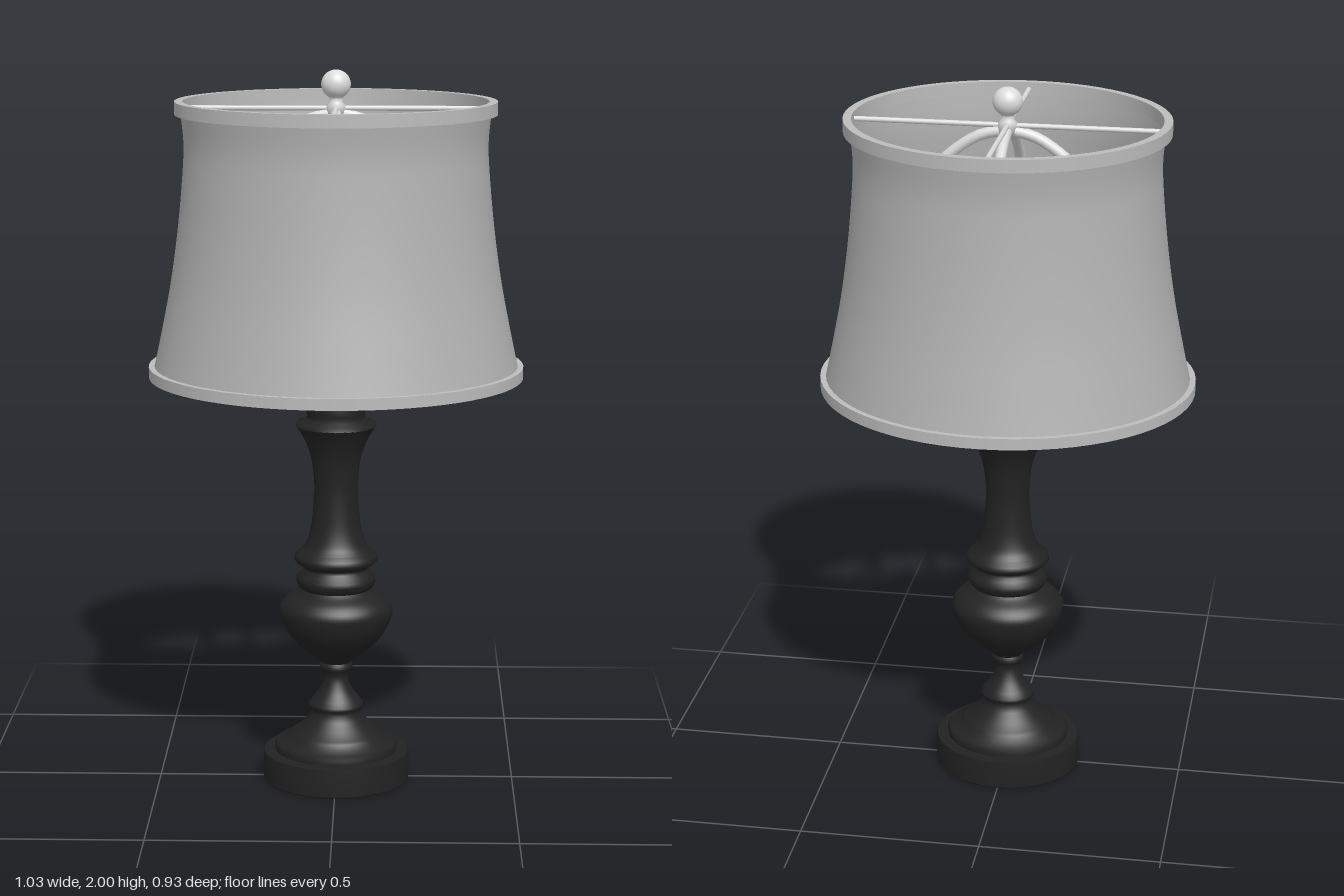
import * as THREE from 'three';

const DEPTH = 0.9; // the turned parts are slightly oval

export function createModel() {
  const lamp = new THREE.Group();
  lamp.name = 'tableLamp';

  const material = (name, color, side = THREE.FrontSide) => {
    const m = new THREE.MeshStandardMaterial({ color, side });
    m.name = name;
    return m;
  };
  const black = material('black wood', 0x222222);
  const fabric = material('grey fabric', 0xb2b2b2, THREE.DoubleSide);
  const trim = material('light grey trim', 0xbcbcbc);
  const metal = material('pale metal', 0xdcdcdc);

  const add = (name, geometry, mat) => {
    const mesh = new THREE.Mesh(geometry, mat);
    mesh.name = name;
    lamp.add(mesh);
    return mesh;
  };
  const turned = (name, points, mat) => {
    const g = new THREE.LatheGeometry(points.map(([r, y]) => new THREE.Vector2(r, y)), 64);
    return add(name, g.scale(1, 1, DEPTH), mat);
  };
  // Smooth profile through a few points
  const smooth = (points, n) => new THREE.SplineCurve(points.map(p => new THREE.Vector2(...p)))
    .getPoints(n).map(v => [Math.max(v.x, 0), v.y]);

  // Plinth and stepped foot
  turned('plinth', [[0, 0], [0.204, 0], [0.206, 0.004], [0.206, 0.08], [0.202, 0.085], [0, 0.085]], black);
  turned('foot', [
    [0.172, 0.083], [0.174, 0.1], [0.166, 0.11], [0.14, 0.115], [0.132, 0.132], [0.122, 0.138],
    [0.1, 0.155], [0.078, 0.18], [0.07, 0.195], [0.07, 0.205], [0.077, 0.213], [0.077, 0.221],
    [0.066, 0.235], [0.05, 0.255], [0.037, 0.28], [0.033, 0.3], [0.036, 0.315],
    [0.046, 0.324], [0.046, 0.336], [0.038, 0.345]], black);

  // Turned stem: vase, collar rings and waisted column
  turned('vase', smooth([[0.04, 0.34], [0.062, 0.36], [0.1, 0.39], [0.138, 0.435], [0.157, 0.48],
    [0.157, 0.508], [0.138, 0.532], [0.108, 0.55], [0.095, 0.56]], 32), black);
  turned('collar', [[0.095, 0.556], [0.105, 0.566], [0.111, 0.58], [0.111, 0.592], [0.1, 0.605],
    [0.09, 0.613], [0.09, 0.622], [0.108, 0.632], [0.117, 0.642], [0.115, 0.655], [0.1, 0.668]], black);
  turned('column', smooth([[0.1, 0.668], [0.083, 0.69], [0.069, 0.74], [0.061, 0.82], [0.062, 0.88],
    [0.071, 0.94], [0.09, 0.99], [0.112, 1.025]], 32), black);
  turned('columnCap', [[0.112, 1.024], [0.108, 1.035], [0.082, 1.043], [0.078, 1.053], [0.082, 1.06],
    [0.082, 1.082], [0.078, 1.087], [0, 1.087]], black);

  // Socket with turn key
  turned('socket', [[0.033, 1.085], [0.033, 1.2], [0.026, 1.205], [0.026, 1.23], [0, 1.23]], black);
  add('keyShaft', new THREE.CylinderGeometry(0.007, 0.007, 0.06, 12).rotateZ(Math.PI / 2), black)
    .position.set(-0.056, 1.125, 0);
  add('keyKnob', new THREE.CylinderGeometry(0.014, 0.014, 0.012, 16).rotateZ(Math.PI / 2), black)
    .position.set(-0.082, 1.125, 0);

  // Bulb
  turned('bulb', smooth([[0.03, 1.225], [0.036, 1.26], [0.068, 1.31], [0.095, 1.36], [0.094, 1.41],
    [0.068, 1.453], [0.03, 1.472], [0, 1.475]], 30), metal);

  // Four harp arms and four spokes carrying the shade
  const harpCurve = new THREE.CatmullRomCurve3([[0.03, 1.19], [0.12, 1.2], [0.23, 1.27], [0.305, 1.4],
    [0.32, 1.52], [0.28, 1.66], [0.18, 1.79], [0.08, 1.865], [0, 1.885]]
    .map(([x, y]) => new THREE.Vector3(x, y, 0)));
  for (let i = 0; i < 4; i++) {
    const angle = i * Math.PI / 2;
    add('harpArm', new THREE.TubeGeometry(harpCurve, 40, 0.015, 10), metal).rotation.y = angle;
    const length = i % 2 ? 0.425 * DEPTH : 0.425;
    const spoke = new THREE.CylinderGeometry(0.007, 0.007, length, 10).rotateZ(Math.PI / 2);
    add('shadeSpoke', spoke.translate(length / 2, 1.897, 0), metal).rotation.y = angle;
  }

  // Finial
  turned('finial', [[0, 1.875], [0.026, 1.875], [0.026, 1.905], [0.018, 1.912], [0.018, 1.922],
    ...Array.from({ length: 17 }, (_, i) => {
      const a = -1.1 + (i / 16) * (1.1 + Math.PI / 2);
      return [Math.max(0, 0.04 * Math.cos(a)), 1.961 + 0.039 * Math.sin(a)];
    })], metal);

  // Bell shade with a band on each rim
  turned('shade', smooth([[0.504, 1.17], [0.482, 1.27], [0.452, 1.42], [0.43, 1.57], [0.415, 1.72],
    [0.411, 1.81], [0.42, 1.9]], 28), fabric);
  const band = (name, inner, outer, y0, y1) => turned(name,
    [[inner, y0], [outer, y0], [outer, y0], [outer, y1], [outer, y1], [inner, y1], [inner, y1], [inner, y0]], trim);
  band('topBand', 0.412, 0.435, 1.882, 1.917);
  band('bottomBand', 0.494, 0.514, 1.165, 1.196);

  return lamp;
}
